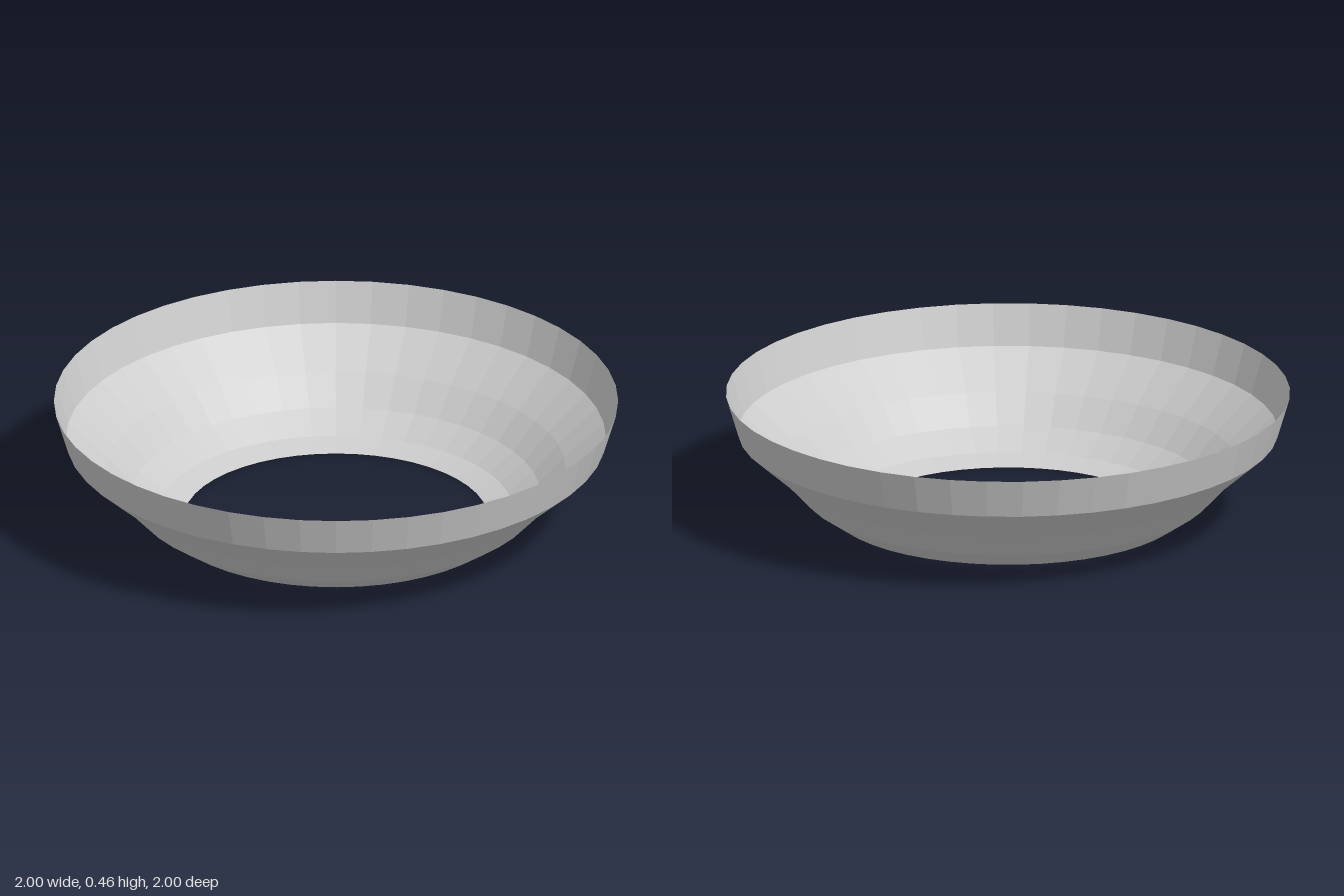
import * as THREE from 'three';

export function createModel() {
  const group = new THREE.Group();
  group.name = 'openRing';

  // Thin flared wall, from the open bottom edge up to the rim: radius, height
  const profile = [
    [0.54, 0], [0.63, 0.027], [0.725, 0.093],
    [0.815, 0.19], [0.957, 0.315], [1, 0.46],
  ].map(([r, y]) => new THREE.Vector2(r, y));

  const wall = new THREE.Mesh(
    new THREE.LatheGeometry(profile, 48),
    new THREE.MeshStandardMaterial({ color: 0xcccccc, flatShading: true, side: THREE.DoubleSide })
  );
  wall.name = 'flaredWall';
  group.add(wall);
  return group;
}
